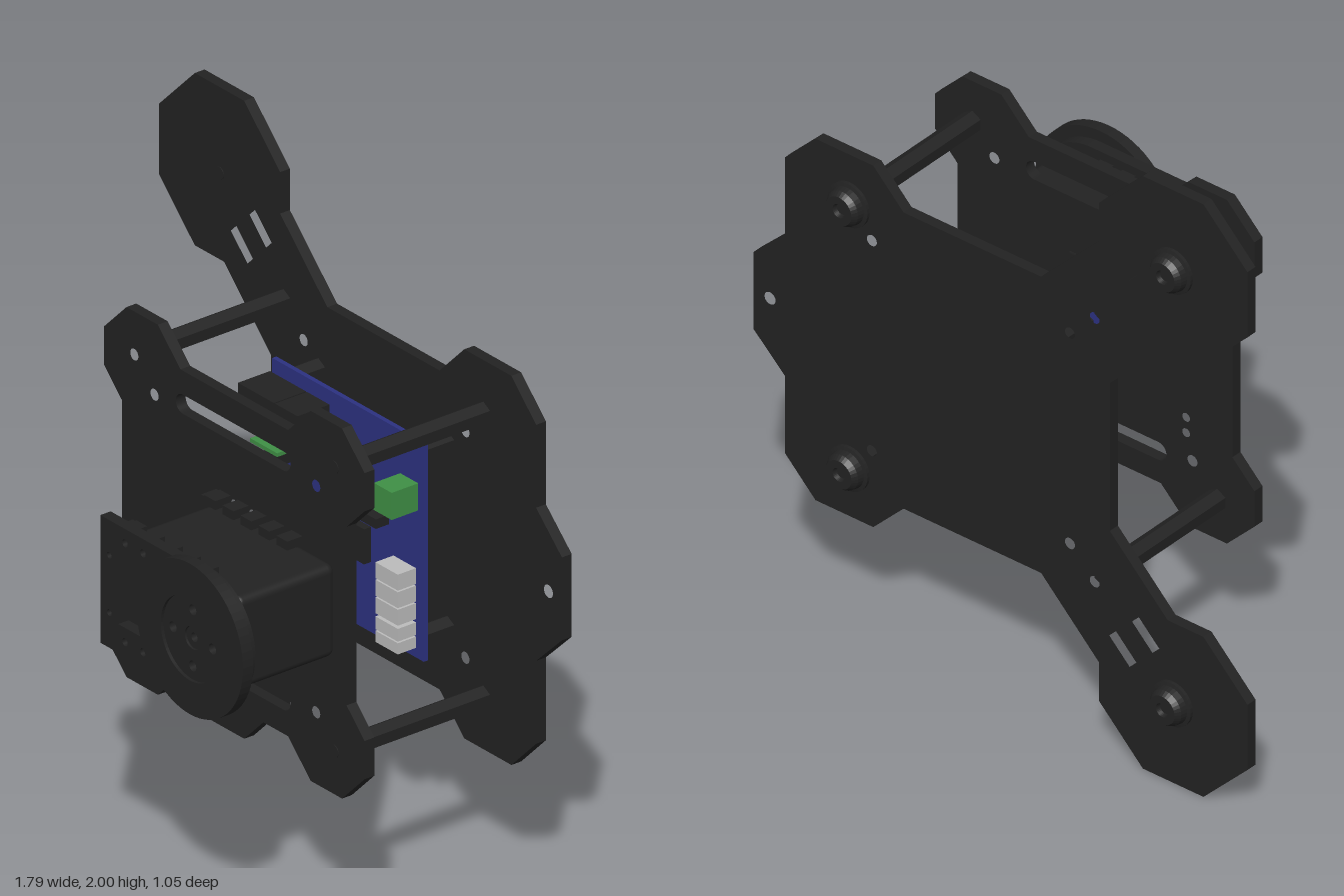
import * as THREE from 'three';
import { RoundedBoxGeometry } from 'three/addons/geometries/RoundedBoxGeometry.js';

const mat = (color) => new THREE.MeshStandardMaterial({ color, flatShading: true });
const black = mat(0x222222), blue = mat(0x2c3180), green = mat(0x3f8f45), grey = mat(0xbbbbbb);
const smoothBlack = new THREE.MeshStandardMaterial({ color: 0x222222 });

export function createModel() {
  const model = new THREE.Group();

  const add = (name, geometry, material = black) => {
    const mesh = new THREE.Mesh(geometry, material);
    mesh.name = name;
    model.add(mesh);
    return mesh;
  };
  // box given by its limits on each axis
  const box = (name, [x0, x1], [y0, y1], [z0, z1], material) =>
    add(name, new THREE.BoxGeometry(x1 - x0, y1 - y0, z1 - z0), material)
      .position.set((x0 + x1) / 2, (y0 + y1) / 2, (z0 + z1) / 2);
  const circle = (x, y, r) => new THREE.Path().absarc(x, y, r, 0, Math.PI * 2, true);
  // straight slot of given length and width, turned by an angle
  const slot = (x, y, length, width, angle) => {
    const c = Math.cos(angle), s = Math.sin(angle);
    return new THREE.Path([[-1, -1], [-1, 1], [1, 1], [1, -1]].map(([a, b]) => {
      const u = a * length / 2, v = b * width / 2;
      return new THREE.Vector2(x + u * c - v * s, y + u * s + v * c);
    }));
  };
  // slot with round ends
  const roundSlot = (x0, x1, y, r) => new THREE.Path()
    .absarc(x1, y, r, -Math.PI / 2, Math.PI / 2, false)
    .absarc(x0, y, r, Math.PI / 2, Math.PI * 1.5, false);
  const plate = (name, shape, holes, z0, z1, material = black) => {
    shape.holes.push(...holes);
    const g = new THREE.ExtrudeGeometry(shape, { depth: z1 - z0, bevelEnabled: false, curveSegments: 32 });
    return add(name, g.translate(0, 0, z0), material);
  };
  // closes an upper half outline by mirroring it about y = 1
  const mirrored = (half) => new THREE.Shape([...half, ...half.slice().reverse().map(([x, y]) => [x, 2 - y])]
    .map(([x, y]) => new THREE.Vector2(x, y)));
  const both = (fn) => [1, -1].map(fn);

  // holes that run through both plates
  const throughHoles = () => both((s) => [
    circle(-0.345, 1 + s * 0.445, 0.018), circle(-0.255, 1 + s * 0.355, 0.018), circle(0.465, 1 + s * 0.355, 0.018),
  ]).flat();

  // back plate with two diagonal arms
  plate('backPlate', mirrored([
    [-0.40, 1.25], [-0.61, 1.46], [-0.74, 1.46], [-0.90, 1.62], [-0.90, 1.84], [-0.74, 2], [-0.52, 2],
    [-0.36, 1.84], [-0.36, 1.71], [-0.15, 1.50], [0.35, 1.50], [0.46, 1.61], [0.67, 1.61], [0.78, 1.50],
    [0.78, 1.24], [0.895, 1.13],
  ]), [
    ...throughHoles(), circle(0.835, 1, 0.02),
    ...both((s) => [
      slot(-0.447, 1 + s * 0.628, 0.105, 0.035, -s * Math.PI / 4),
      slot(-0.53, 1 + s * 0.545, 0.105, 0.035, -s * Math.PI / 4),
    ]).flat(),
  ], -0.475, -0.44);

  // front plate with chamfered ears and two long slots
  const tabHoles = () => both((s) => [
    circle(0.03, 1 + s * 0.09, 0.01), circle(0.10, 1 + s * 0.155, 0.012), circle(0.18, 1 + s * 0.155, 0.012),
  ]).flat();
  plate('frontPlate', mirrored([
    [-0.40, 1.28], [-0.48, 1.36], [-0.48, 1.48], [-0.38, 1.58], [-0.24, 1.58], [-0.14, 1.48],
    [0.34, 1.48], [0.44, 1.58], [0.58, 1.58], [0.68, 1.48], [0.68, 1.36], [0.60, 1.28],
  ]), [
    ...throughHoles(), ...tabHoles(),
    ...both((s) => roundSlot(-0.13, 0.32, 1 + s * 0.375, 0.03)),
    circle(-0.232, 0.73, 0.014), circle(-0.232, 0.782, 0.014),
  ], 0.06, 0.095);

  // hexagonal posts, hollow where the bolt is missing
  const post = (name, x, y, z0, z1, hollow) => {
    const hex = new THREE.Shape(Array.from({ length: 6 }, (_, i) => {
      const a = Math.PI / 2 + i * Math.PI / 3;
      return new THREE.Vector2(x + 0.0345 * Math.cos(a), y + 0.0345 * Math.sin(a));
    }));
    plate(name, hex, hollow ? [circle(x, y, 0.018)] : [], z0, z1);
  };
  // button-headed bolt on the back of the plate
  const headProfile = [[0, -0.002], [0.072, -0.002], [0.072, 0.01], [0.061, 0.013], [0.057, 0.033], [0.046, 0.049], [0.022, 0.049], [0.018, 0.035], [0, 0.035]]
    .map(([r, y]) => new THREE.Vector2(r, y));
  const bolt = (x, y, tip) => {
    add('boltHead', new THREE.LatheGeometry(headProfile, 32).rotateX(-Math.PI / 2)).position.set(x, y, -0.475);
    add('boltTip', new THREE.CylinderGeometry(0.02, 0.02, 0.02, 24).rotateX(Math.PI / 2)).position.set(x, y, tip - 0.008);
  };
  both((s) => {
    post('hollowPost', -0.345, 1 + s * 0.445, -0.44, 0.06, true);
    post('solidPost', 0.545, 1 + s * 0.445, -0.44, 0.06, false);
    for (const x of [-0.19, 0.385]) post('boardStandoff', x, 1 + s * 0.29, -0.44, -0.33, false);
    bolt(-0.63, 1 + s * 0.73, -0.44);
    bolt(0.545, 1 + s * 0.445, 0.095);
  });

  // circuit board and its components
  box('circuitBoard', [-0.24, 0.435], [0.66, 1.345], [-0.33, -0.315], blue);
  box('powerSocket', [-0.25, -0.09], [1.23, 1.30], [-0.315, -0.2], black);
  box('relay', [-0.085, 0.015], [1.23, 1.30], [-0.315, -0.2], black);
  box('uprightBoard', [-0.09, 0.03], [1.205, 1.217], [-0.315, -0.115], green);
  box('uprightChip', [-0.075, 0.01], [1.16, 1.205], [-0.215, -0.155], black);
  box('terminalBlock', [0.33, 0.41], [1.125, 1.21], [-0.315, -0.22], green);
  box('smallTerminal', [-0.03, 0.04], [1.125, 1.205], [-0.315, -0.25], green);
  box('pinHeader', [0.055, 0.28], [1.03, 1.06], [-0.315, -0.268], black);
  box('mainChip', [0, 0.2], [0.88, 0.99], [-0.315, -0.29], black);
  for (const [y0, y1] of [[0.69, 0.725], [0.73, 0.77], [0.78, 0.83], [0.835, 0.885], [0.89, 0.94]])
    box('connector', [0.30, 0.40], [y0, y1], [-0.315, -0.25], grey);

  // motor body with rows of mounting tabs at both ends
  add('motorBody', new RoundedBoxGeometry(0.515, 0.29, 0.355, 3, 0.025), smoothBlack).position.set(0.297, 1, 0.2725);
  for (const z of [[0.095, 0.15], [0.395, 0.45]]) {
    both((s) => {
      for (let i = 0; i < 5; i++) {
        const x = 0.06 + i * 0.08, ys = [1 + s * 0.13, 1 + s * 0.173].sort((a, b) => a - b);
        box('motorTab', [x - 0.024, x + 0.024], ys, z);
      }
    });
    for (const y of [0.855, 0.96, 1.04, 1.145])
      box('motorSideTab', [0.02, 0.07], [y - 0.024, y + 0.024], z);
  }

  // motor face plate, rounded round the shaft
  const face = new THREE.Shape().moveTo(-0.01, 0.8).lineTo(0.435, 0.8)
    .absarc(0.435, 1, 0.2, -Math.PI / 2, Math.PI / 2, false).lineTo(-0.01, 1.2);
  plate('motorFacePlate', face, [...tabHoles(), slot(0.185, 1, 0.23, 0.22, 0)], 0.45, 0.487);

  // drive disc with a recessed, drilled hub
  const disc = (x, y, r) => new THREE.Shape().absarc(x, y, r, 0, Math.PI * 2, false);
  plate('driveDisc', disc(0.435, 1, 0.236), [circle(0.435, 1, 0.13)], 0.487, 0.524);
  plate('driveHub', disc(0.435, 1, 0.13), [0, 1, 2, 3].map((i) =>
    circle(0.435 + 0.088 * Math.cos(i * Math.PI / 2), 1 + 0.088 * Math.sin(i * Math.PI / 2), 0.016))
    .concat(circle(0.435, 1, 0.035)), 0.487, 0.514);
  plate('shaft', disc(0.435, 1, 0.034), [circle(0.435, 1, 0.014)], 0.45, 0.508);
  return model;
}
